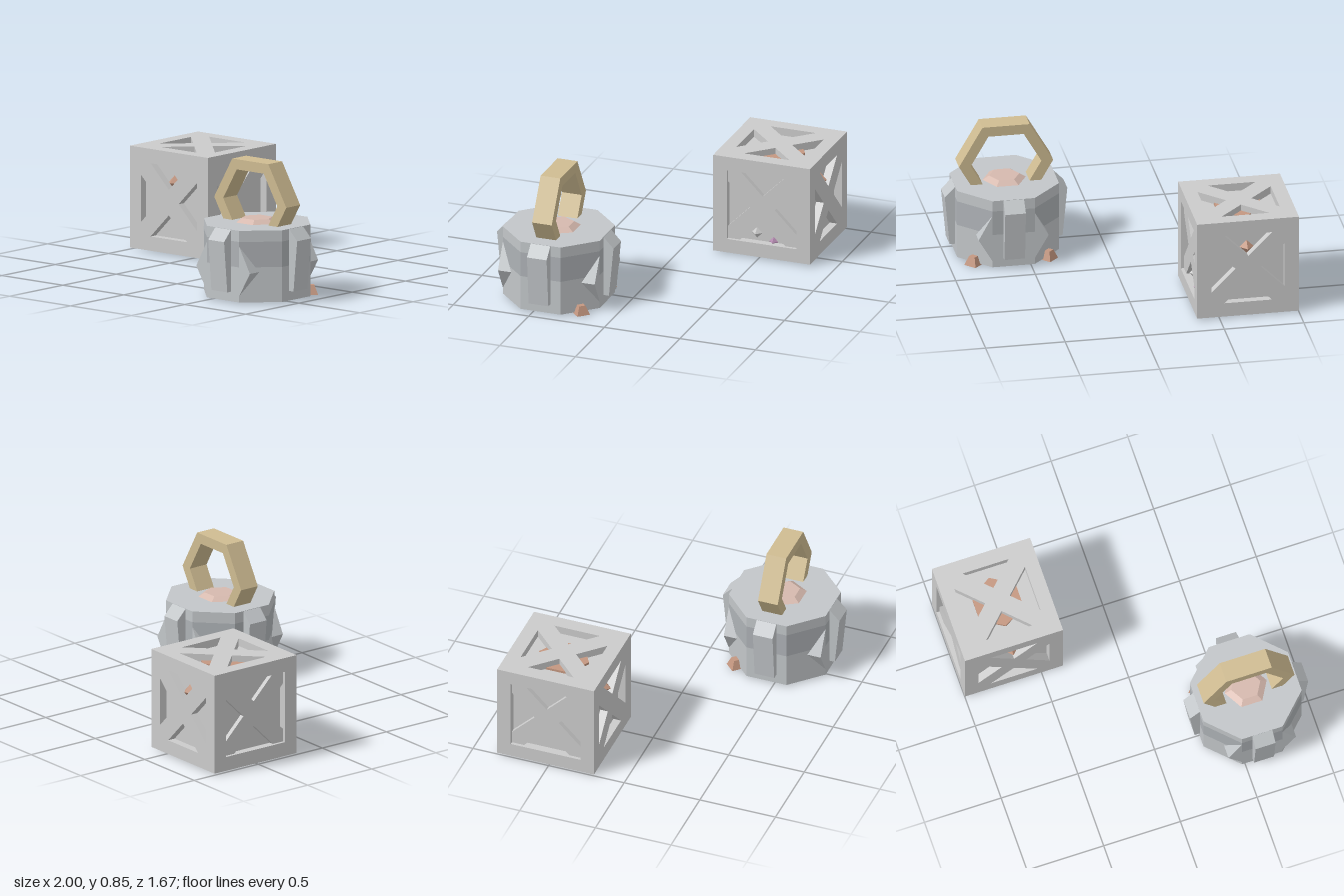
import * as THREE from 'three';
import { ConvexGeometry } from 'three/addons/geometries/ConvexGeometry.js';

const mat = (color) => new THREE.MeshStandardMaterial({ color, flatShading: true });
const GREY = mat(0xcccccc), STEEL = mat(0xc2c6c9), BAND = mat(0xaeb2b6);
const TAN = mat(0xcfbc92), BROWN = mat(0xc49780), PINK = mat(0xd6b9ae), PURPLE = mat(0xb48ab0);

function add(parent, name, geometry, material, x = 0, y = 0, z = 0) {
  const mesh = new THREE.Mesh(geometry, material);
  mesh.name = name;
  mesh.position.set(x, y, z);
  parent.add(mesh);
  return mesh;
}

const polygon = (points) => points.map(([x, y]) => new THREE.Vector2(x, y));
const extrude = (shape, depth) => new THREE.ExtrudeGeometry(shape, { depth, bevelEnabled: false });
const square = (h) => polygon([[-h, -h], [h, -h], [h, h], [-h, h]]);

// Square plate with four triangular openings that leave a cross brace
function bracePlate(half, depth) {
  const shape = new THREE.Shape(square(half));
  for (let i = 0; i < 4; i++) {
    const c = new THREE.Vector2();
    const tri = polygon([[-0.15, 0.23], [0.15, 0.23], [0, 0.08]]);
    shape.holes.push(new THREE.Path(tri.map((p) => p.rotateAround(c, i * Math.PI / 2))));
  }
  return extrude(shape, depth);
}

function framePlate(half, depth) {
  const shape = new THREE.Shape(square(half));
  shape.holes.push(new THREE.Path(square(0.23).reverse()));
  return extrude(shape, depth);
}

function createCrate() {
  const crate = new THREE.Group();
  crate.name = 'crate';
  const sides = [
    ['front', 0, 0], ['back', 0, Math.PI], ['top', -Math.PI / 2, 0], ['bottom', Math.PI / 2, 0],
    ['left', 0, Math.PI / 2], ['right', 0, -Math.PI / 2],
  ];
  for (const [name, rx, ry] of sides) {
    const panel = new THREE.Group();
    panel.name = name + 'Panel';
    panel.rotation.set(rx, ry, 0);
    if (name === 'left' || name === 'right') {
      // Side braces sit slightly behind their frame
      add(panel, 'sideFrame', framePlate(0.32, 0.05), GREY, 0, 0, 0.27);
      add(panel, 'sideBrace', bracePlate(0.24, 0.03), GREY, 0, 0, 0.27);
    } else {
      add(panel, 'crossBrace', bracePlate(0.32, 0.05), GREY, 0, 0, 0.27);
    }
    crate.add(panel);
  }
  add(crate, 'innerBox', new THREE.BoxGeometry(0.53, 0.53, 0.53), GREY);

  // Contents showing through the openings
  add(crate, 'core', new THREE.CylinderGeometry(0.165, 0.165, 0.56, 6), BROWN);
  for (const s of [-1, 1]) {
    add(crate, 'gem', new THREE.OctahedronGeometry(0.045), BROWN, 0, 0.12, s * 0.265);
  }
  add(crate, 'paleShard', new THREE.OctahedronGeometry(0.05), GREY, 0.25, -0.18, 0.05);
  add(crate, 'purpleShard', new THREE.OctahedronGeometry(0.035), PURPLE, 0.26, -0.225, -0.06);
  crate.position.set(-0.68, 0.33, -0.52);
  return crate;
}

function octagon(h) {
  const r = 0.32 / Math.cos(Math.PI / 8);
  return new THREE.CylinderGeometry(r, r, h, 8).rotateY(Math.PI / 8);
}

function createKeg() {
  const keg = new THREE.Group();
  keg.name = 'keg';

  // Octagonal body in three bands
  for (const [name, y0, y1, m] of [
    ['lowerBody', 0.01, 0.23, STEEL], ['middleBand', 0.23, 0.39, BAND], ['upperBody', 0.39, 0.46, STEEL],
  ]) add(keg, name, octagon(y1 - y0), m, 0, (y0 + y1) / 2, 0);
  add(keg, 'base', new THREE.CylinderGeometry(0.23, 0.23, 0.02, 8), PINK, 0, 0.01, 0);
  add(keg, 'lidDome', new THREE.CylinderGeometry(0.095, 0.145, 0.03, 6).rotateY(Math.PI / 6), PINK, 0, 0.47, 0);

  // Four tapered clamps
  const clamp = new THREE.Shape(polygon([[0.3, 0.07], [0.355, 0.07], [0.385, 0.39], [0.32, 0.458], [0.3, 0.458]]));
  for (let i = 0; i < 4; i++) {
    const geo = extrude(clamp, 0.13).translate(0, 0, -0.065).rotateY(i * Math.PI / 2);
    add(keg, 'clamp', geo, STEEL);
  }

  // Corner spikes beside the front and back faces, and small feet at the rear
  for (const sx of [-1, 1]) {
    for (const sz of [-1, 1]) {
      const pts = [[0.1325, 0.36, 0.32], [0.1325, 0.05, 0.32], [0.22, 0.2, 0.32], [0.22, 0.2, 0.232]]
        .map(([x, y, z]) => new THREE.Vector3(sx * x, y, sz * z));
      add(keg, 'cornerSpike', new ConvexGeometry(pts), STEEL);
    }
    const foot = add(keg, 'rearFoot', new THREE.CylinderGeometry(0.03, 0.06, 0.06, 4), BROWN, sx * 0.235, 0.03, -0.235);
    foot.rotation.y = sx * -Math.PI / 4 + Math.PI / 4;
    foot.scale.set(1, 0.95, 1);
  }

  // Hexagonal handle
  const ring = (r) => polygon([0, 1, 2, 3, 4, 5].map((i) =>
    [r * Math.cos(i * Math.PI / 3), r * Math.sin(i * Math.PI / 3)]));
  const handle = new THREE.Shape(ring(0.296));
  handle.holes.push(new THREE.Path(ring(0.222).reverse()));
  add(keg, 'handle', extrude(handle, 0.13), TAN, 0, 0.589, -0.065);
  keg.position.set(0.612, 0, 0.448);
  return keg;
}

export function createModel() {
  const model = new THREE.Group();
  model.name = 'crateAndKeg';
  model.add(createCrate(), createKeg());
  return model;
}
